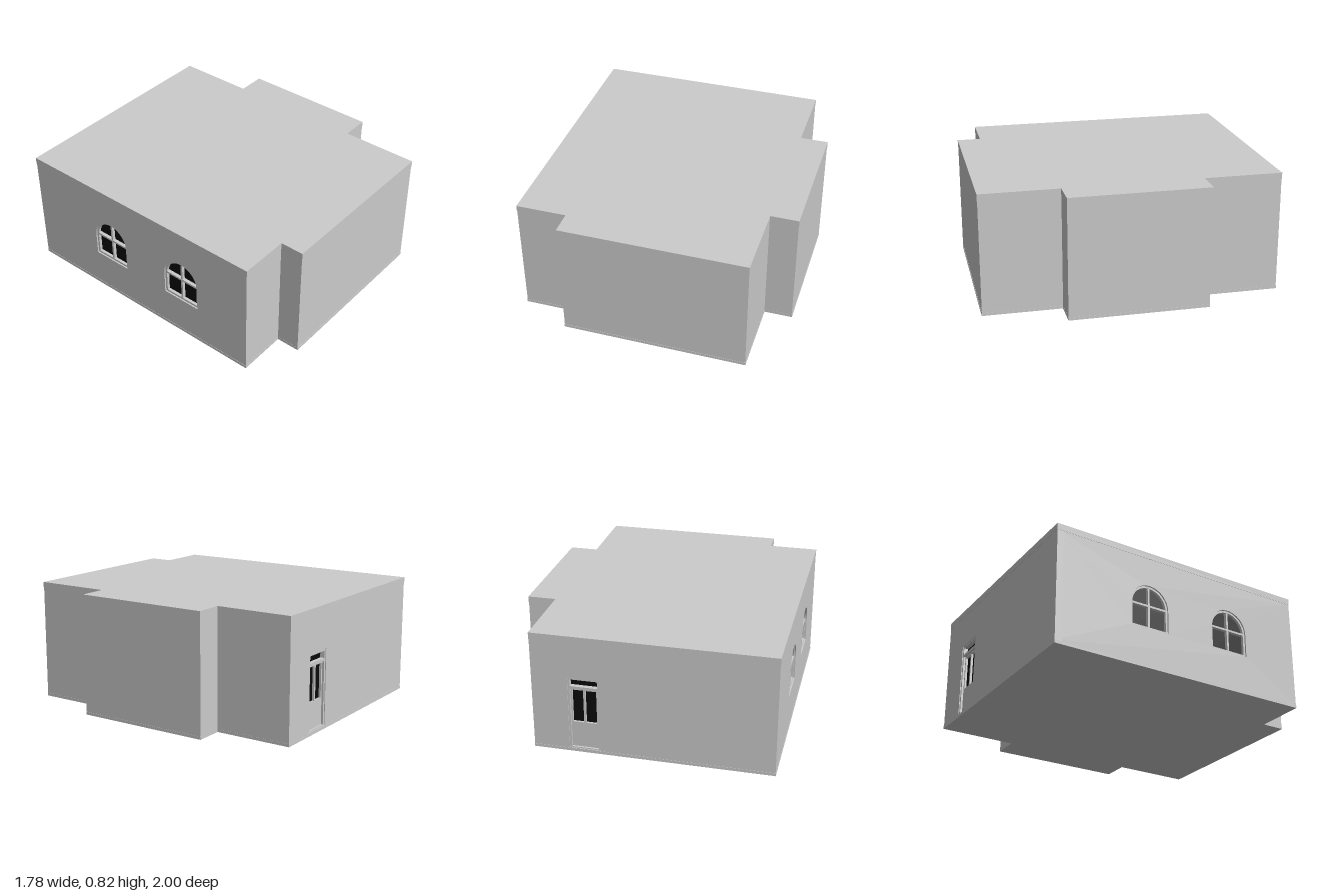
import * as THREE from 'three';

const HEIGHT = 0.825, FLOOR = 0.02, CEILING = 0.045, THICK = 0.05;

// Footprint corners [x, z], walked so that each wall's outside is on the right hand
const FOOTPRINT = [
  [-0.55, 1], [0.7, 1], [0.7, 0.47], [0.89, 0.47], [0.89, -0.47],
  [0.7, -0.47], [0.7, -1], [-0.89, -1], [-0.89, 0.84], [-0.55, 0.84],
];
const BACK_WALL = 6, SIDE_WALL = 7;

const grey = new THREE.MeshStandardMaterial({ color: 0xcccccc });
const dark = new THREE.MeshStandardMaterial({ color: 0x0b0b0b });

function add(parent, name, geometry, material = grey) {
  const mesh = new THREE.Mesh(geometry, material);
  mesh.name = name;
  parent.add(mesh);
  return mesh;
}

function extrude(shape, depth) {
  return new THREE.ExtrudeGeometry(shape, { depth, bevelEnabled: false, curveSegments: 12 });
}

function bar(parent, name, x0, x1, y0, y1, z0, z1, material) {
  const mesh = add(parent, name, new THREE.BoxGeometry(x1 - x0, y1 - y0, z1 - z0), material);
  mesh.position.set((x0 + x1) / 2, (y0 + y1) / 2, (z0 + z1) / 2);
}

function rectangle(x0, x1, y0, y1, Type = THREE.Shape) {
  return new Type([[x0, y0], [x1, y0], [x1, y1], [x0, y1]].map(p => new THREE.Vector2(...p)));
}

// Straight sides with a half-round head
function arch(cx, sill, spring, r, Type = THREE.Shape) {
  const path = new Type();
  path.moveTo(cx - r, sill);
  path.lineTo(cx + r, sill);
  path.lineTo(cx + r, spring);
  path.absarc(cx, spring, r, 0, Math.PI, false);
  path.closePath();
  return path;
}

// Floor or ceiling slab; its rim stands very slightly proud of the walls
function slab(parent, name, y, depth) {
  const shape = new THREE.Shape(FOOTPRINT.map(([x, z]) => new THREE.Vector2(x, -z)));
  const geometry = extrude(shape, depth).rotateX(-Math.PI / 2).scale(1.002, 1, 1.002);
  add(parent, name, geometry).position.y = y;
}

const WINDOW = { sill: 0.275, spring: 0.44, r: 0.14 };
const WINDOW_CENTRES = [0.676, 1.298];
const DOOR = { x0: 0.24, x1: 0.45, y0: 0.023, y1: 0.535 };

function buildWindow(cx) {
  const group = new THREE.Group();
  group.name = 'archedWindow';
  const { sill, spring, r } = WINDOW, w = 0.014;
  const frame = arch(cx, sill, spring, r);
  frame.holes.push(arch(cx, sill + w, spring, r - w, THREE.Path));
  add(group, 'windowFrame', extrude(frame, 0.02)).position.z = -0.03;
  add(group, 'windowGlass', extrude(arch(cx, sill, spring, r), 0.006), dark).position.z = -0.04;
  bar(group, 'windowMullion', cx - w / 2, cx + w / 2, sill, spring + r - 0.005, -0.034, -0.012);
  bar(group, 'windowTransom', cx - r + 0.005, cx + r - 0.005, spring - w / 2, spring + w / 2, -0.034, -0.011);
  return group;
}

function buildDoor() {
  const group = new THREE.Group();
  group.name = 'door';
  const { x0, x1, y0, y1 } = DOOR, w = 0.014, mid = (x0 + x1) / 2;
  // Outer frame, with openings for the leaf and the light above it
  const frame = rectangle(x0, x1, y0, y1);
  frame.holes.push(rectangle(x0 + w, x1 - w, y0 + 0.006, 0.455, THREE.Path));
  frame.holes.push(rectangle(x0 + w, x1 - w, 0.473, y1 - w, THREE.Path));
  add(group, 'doorFrame', extrude(frame, 0.03)).position.z = -0.035;
  // Leaf with two tall panes over a solid panel
  const leaf = rectangle(x0 + w, x1 - w, y0 + 0.006, 0.455);
  leaf.holes.push(rectangle(x0 + w * 1.8, mid - w / 2, 0.21, 0.442, THREE.Path));
  leaf.holes.push(rectangle(mid + w / 2, x1 - w * 1.8, 0.21, 0.442, THREE.Path));
  add(group, 'doorLeaf', extrude(leaf, 0.015)).position.z = -0.034;
  bar(group, 'doorGlass', x0, x1, 0.2, y1, -0.044, -0.036, dark);
  return group;
}

export function createModel() {
  const model = new THREE.Group();
  model.name = 'room';

  slab(model, 'floor', 0, FLOOR);
  slab(model, 'ceiling', HEIGHT - CEILING, CEILING);

  // Walls, each built flat along its own x axis with its outside at z = 0
  FOOTPRINT.forEach(([x, z], i) => {
    const [nx, nz] = FOOTPRINT[(i + 1) % FOOTPRINT.length];
    const side = new THREE.Group();
    side.name = 'wallSide';
    side.position.set(x, 0, z);
    side.rotation.y = Math.atan2(z - nz, nx - x);
    model.add(side);

    const shape = rectangle(0, Math.hypot(nx - x, nz - z), FLOOR, HEIGHT - CEILING);
    if (i === BACK_WALL) {
      shape.holes.push(rectangle(DOOR.x0, DOOR.x1, DOOR.y0, DOOR.y1, THREE.Path));
      side.add(buildDoor());
    }
    if (i === SIDE_WALL) {
      for (const cx of WINDOW_CENTRES) {
        shape.holes.push(arch(cx, WINDOW.sill, WINDOW.spring, WINDOW.r, THREE.Path));
        side.add(buildWindow(cx));
      }
    }
    add(side, 'wall', extrude(shape, THICK)).position.z = -THICK;
  });

  return model;
}
